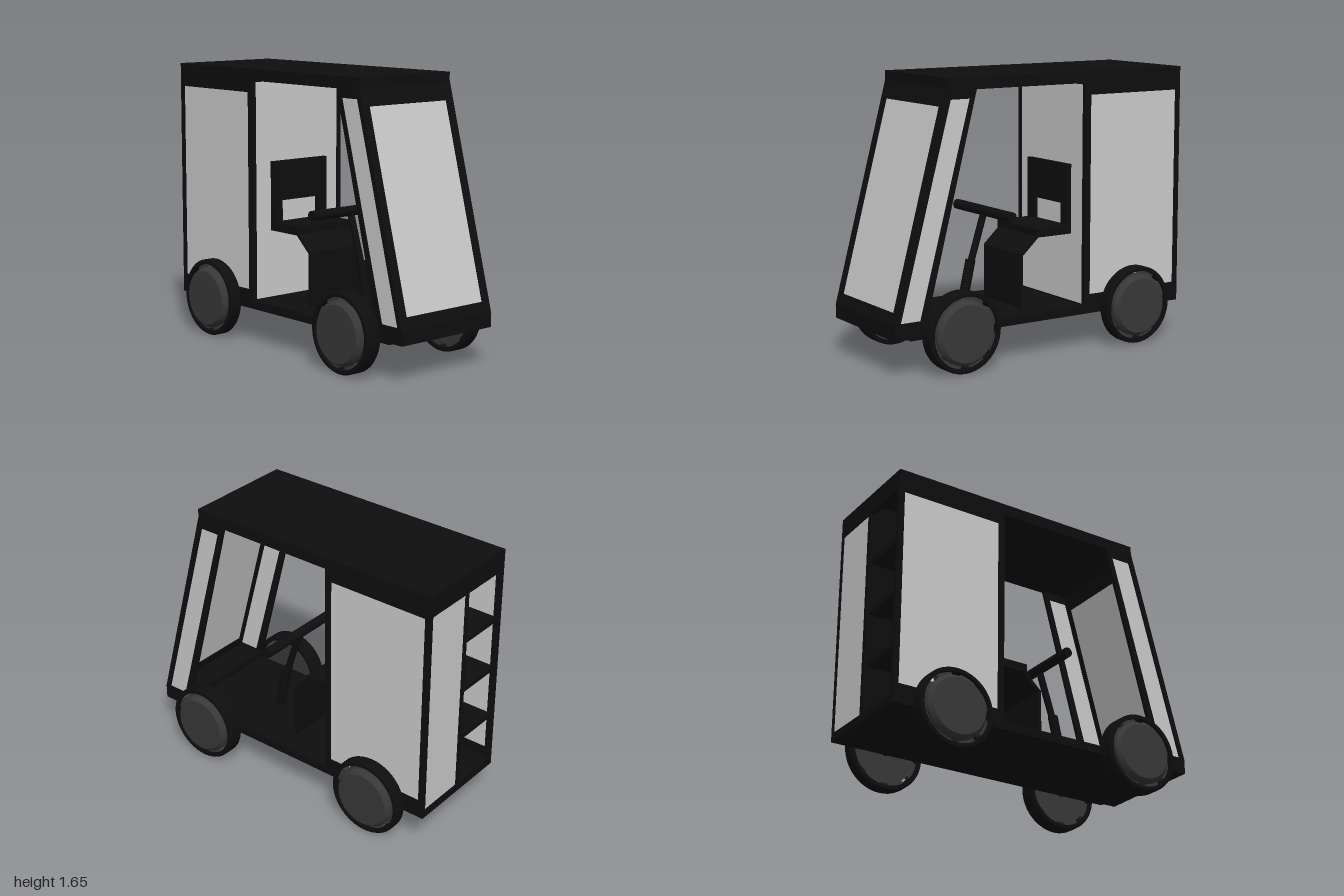
import * as THREE from 'three';
import { toCreasedNormals } from 'three/addons/utils/BufferGeometryUtils.js';

const black = new THREE.MeshStandardMaterial({ color: 0x0e0e0e });
const hubGrey = new THREE.MeshStandardMaterial({ color: 0x383838 });
const grey = new THREE.MeshStandardMaterial({ color: 0xcccccc });

function add(parent, name, geometry, material = black) {
  const mesh = new THREE.Mesh(geometry, material);
  mesh.name = name;
  parent.add(mesh);
  return mesh;
}

// Box given by its extents on each axis
function box(parent, name, [x0, x1], [y0, y1], [z0, z1], material) {
  const mesh = add(parent, name, new THREE.BoxGeometry(x1 - x0, y1 - y0, z1 - z0), material);
  mesh.position.set((x0 + x1) / 2, (y0 + y1) / 2, (z0 + z1) / 2);
  return mesh;
}

const rect = (x0, x1, y0, y1) => [[x0, y0], [x1, y0], [x1, y1], [x0, y1]];
const vec2 = (pts) => pts.map(([x, y]) => new THREE.Vector2(x, y));

function slab(outline, holes, depth) {
  const shape = new THREE.Shape(vec2(outline));
  shape.holes = holes.map((h) => new THREE.Path(vec2(h)));
  return new THREE.ExtrudeGeometry(shape, { depth, bevelEnabled: false }).translate(0, 0, -depth / 2);
}

// Dark frame holding a thinner light panel, with optional open holes
function framedPanel(name, outline, pane, depth, openings = []) {
  const group = new THREE.Group();
  group.name = name;
  add(group, name + 'Frame', slab(outline, [pane, ...openings], depth));
  add(group, name + 'Pane', slab(pane, [], depth * 0.6), grey);
  return group;
}

// Cylinder running between two points
function rod(parent, name, a, b, radius) {
  const from = new THREE.Vector3(...a), to = new THREE.Vector3(...b);
  const dir = to.clone().sub(from);
  const mesh = add(parent, name, new THREE.CylinderGeometry(radius, radius, dir.length(), 20));
  mesh.position.copy(from).add(to).multiplyScalar(0.5);
  mesh.quaternion.setFromUnitVectors(new THREE.Vector3(0, 1, 0), dir.normalize());
  return mesh;
}

const lathe = (pts) =>
  toCreasedNormals(new THREE.LatheGeometry(vec2(pts), 48), 0.5).rotateZ(-Math.PI / 2);

// Wheel on the +x side: open tyre ring, hub disc and short webs between them
function wheel(name, inner, outer, face) {
  const group = new THREE.Group();
  group.name = name;
  add(group, 'tyre', lathe([[0.207, inner], [0.228, inner], [0.235, inner + 0.01],
    [0.235, outer - 0.01], [0.228, outer], [0.207, outer], [0.207, inner]]));
  add(group, 'hub', lathe([[0, inner + 0.02], [0.187, inner + 0.02], [0.187, outer - 0.005],
    [0.172, face - 0.005], [0.165, face], [0, face]]), hubGrey);
  for (let i = 0; i < 8; i++) {
    const a = (i + 0.5) * Math.PI / 4;
    const web = add(group, 'rimWeb', new THREE.BoxGeometry(outer - inner - 0.04, 0.034, 0.1), hubGrey);
    web.position.set((inner + outer) / 2, 0.197 * Math.cos(a), 0.197 * Math.sin(a));
    web.rotation.x = a;
  }
  rod(group, 'axleStub', [0.28, 0, 0], [inner + 0.03, 0, 0], 0.022);
  return group;
}

export function createModel() {
  const model = new THREE.Group();

  // Floor and roof
  box(model, 'floor', [-0.35, 0.35], [0.215, 0.265], [-1, 0.9]);
  box(model, 'frontSill', [-0.35, 0.35], [0.225, 0.31], [0.8, 1]);
  box(model, 'roof', [-0.35, 0.35], [1.59, 1.66], [-1, 0.65]);

  // Slanted windscreen
  const screen = framedPanel('windscreen', rect(-0.353, 0.353, 0, 1.36),
    rect(-0.298, 0.298, 0.075, 1.24), 0.03);
  screen.position.set(0, 0.3, 0.985);
  screen.rotation.x = -0.263;
  model.add(screen);

  // Side windows and cargo sides, mirrored
  for (const side of [-1, 1]) {
    const win = framedPanel('sideWindow',
      [[0.78, 0.24], [0.995, 0.24], [0.995, 0.31], [0.648, 1.61], [0.455, 1.61], [0.79, 0.32]],
      [[0.835, 0.32], [0.962, 0.32], [0.63, 1.54], [0.505, 1.54]], 0.022);
    const cargo = framedPanel('cargoSide', rect(-1, -0.29, 0.215, 1.62),
      rect(-0.965, -0.33, 0.33, 1.52), 0.024);
    for (const part of [win, cargo]) {
      part.rotation.y = -Math.PI / 2;
      part.position.x = side * 0.338;
      model.add(part);
    }
  }

  // Cargo bulkhead behind the seat
  const bulkhead = framedPanel('bulkhead', rect(-0.345, 0.345, 0.22, 1.62),
    rect(-0.32, 0.32, 0.27, 1.58), 0.024);
  bulkhead.position.z = -0.303;
  model.add(bulkhead);

  // Cargo rear: one closed half, one open half with shelves
  const rear = framedPanel('cargoRear', rect(-0.349, 0.349, 0.217, 1.63),
    rect(0.02, 0.327, 0.245, 1.53), 0.024, [rect(-0.327, -0.012, 0.265, 1.53)]);
  rear.position.z = -0.987;
  model.add(rear);
  box(model, 'cargoDivider', [-0.012, 0.015], [0.25, 1.6], [-0.98, -0.31]);
  for (let i = 1; i <= 3; i++) {
    const y = 0.24 + i * 0.325;
    box(model, 'shelf', [-0.328, 0], [y - 0.015, y + 0.015], [-0.985, -0.31]);
  }

  // Seat: cushion, raised backrest and bent support plate
  box(model, 'seatCushion', [-0.21, 0.21], [0.68, 0.73], [-0.29, -0.04]);
  const back = add(model, 'seatBack',
    slab(rect(-0.21, 0.21, 0.68, 1.1), [rect(-0.14, 0.14, 0.73, 0.86)], 0.027));
  back.position.z = -0.277;
  const support = add(model, 'seatSupport', slab([[0.047, 0.25], [0.065, 0.25], [0.065, 0.59],
    [-0.05, 0.695], [-0.075, 0.69], [0.047, 0.58]], [], 0.4));
  support.rotation.y = -Math.PI / 2;

  // Steering column and handlebar
  rod(model, 'columnBase', [0, 0.25, 0.355], [0, 0.55, 0.287], 0.03);
  rod(model, 'steeringColumn', [0, 0.52, 0.29], [0, 0.835, 0.19], 0.021);
  rod(model, 'handlebar', [-0.3, 0.835, 0.19], [0.3, 0.835, 0.19], 0.03);

  // Wheels
  for (const side of [-1, 1]) {
    const front = wheel('frontWheel', 0.352, 0.453, 0.475);
    const hind = wheel('rearWheel', 0.35, 0.428, 0.452);
    front.position.set(0, 0.24, 0.6);
    hind.position.set(0, 0.24, -0.64);
    for (const w of [front, hind]) {
      if (side < 0) w.rotation.y = Math.PI;
      model.add(w);
    }
  }

  // Stand on the ground
  model.position.y = -new THREE.Box3().setFromObject(model).min.y;
  return model;
}
